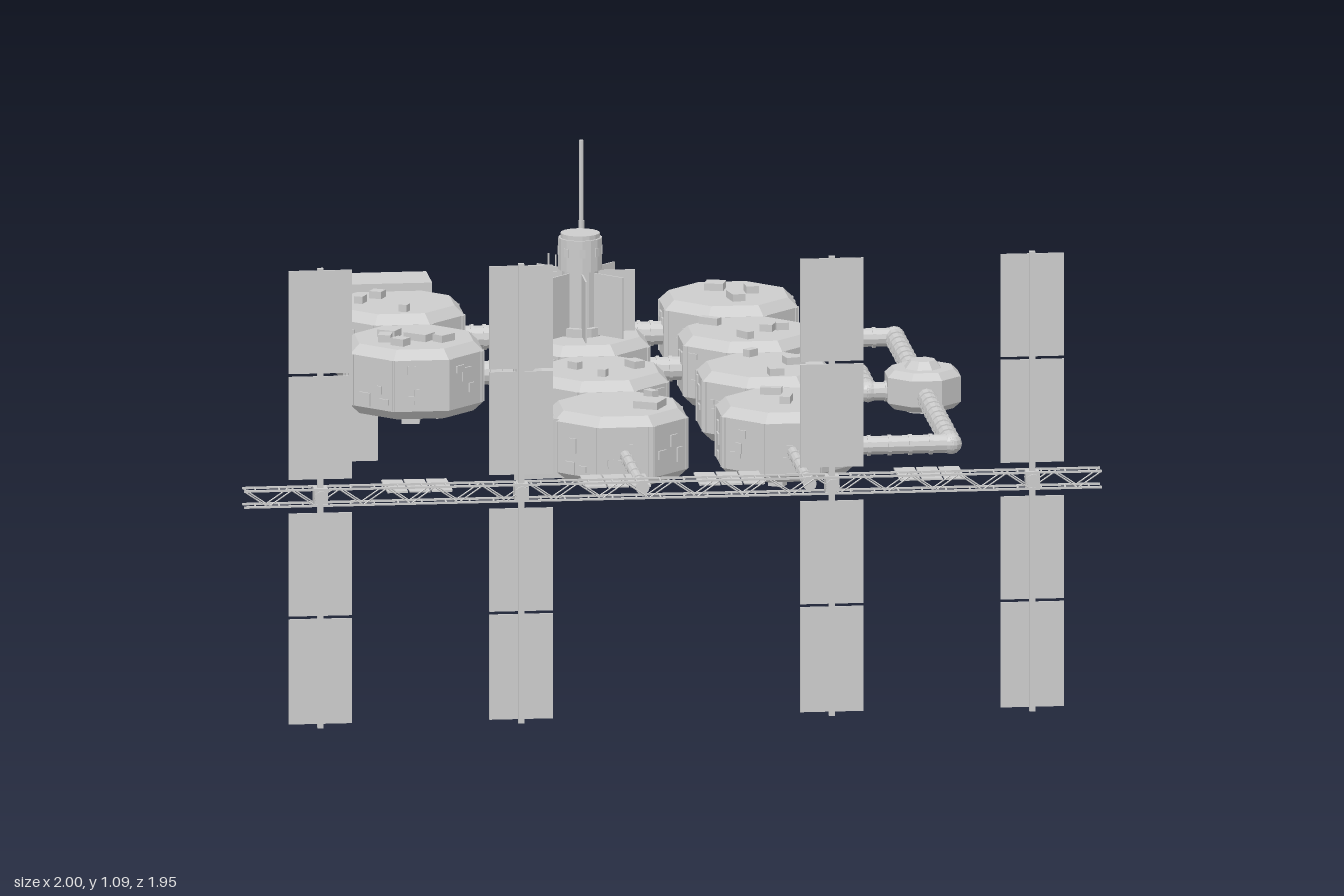
import * as THREE from 'three';

const hull = new THREE.MeshStandardMaterial({ color: 0xcccccc, flatShading: true, side: THREE.DoubleSide });
hull.name = 'hullGrey';

const V = (x, y, z) => new THREE.Vector3(x, y, z);
const UP = V(0, 1, 0);
let seed = 7;
const rnd = () => (seed = (seed * 16807) % 2147483647) / 2147483647;

function add(parent, name, geo, x = 0, y = 0, z = 0, ry = 0) {
  const m = new THREE.Mesh(geo, hull);
  m.name = name;
  m.position.set(x, y, z);
  m.rotation.y = ry;
  parent.add(m);
  return m;
}
const box = (p, name, w, h, d, x, y, z, ry) => add(p, name, new THREE.BoxGeometry(w, h, d), x, y, z, ry);
const cyl = (p, name, r, h, x, y, z, n = 12) => add(p, name, new THREE.CylinderGeometry(r, r, h, n), x, y, z);

// Cylinder running from a to b
function rod(p, name, a, b, r, n = 12) {
  const d = b.clone().sub(a);
  const m = add(p, name, new THREE.CylinderGeometry(r, r, d.length(), n));
  m.position.copy(a).addScaledVector(d, 0.5);
  m.quaternion.setFromUnitVectors(UP, d.normalize());
  return m;
}

// Tube with evenly spaced collars
function tunnel(p, name, a, b, r, gap = 0.05) {
  const g = new THREE.Group();
  g.name = name;
  p.add(g);
  rod(g, 'tube', a, b, r);
  const len = a.distanceTo(b), n = Math.max(1, Math.round(len / gap));
  for (let i = 0; i <= n; i++) {
    const c = a.clone().lerp(b, i / n), d = b.clone().sub(a).setLength(0.004);
    rod(g, 'collar', c.clone().sub(d), c.clone().add(d), r + 0.003);
  }
}

// Octagonal body with chamfered rims; s is the half width across flats
function octagon(p, name, s, y0, y1, chamfer) {
  const k = 1 / Math.cos(Math.PI / 8);
  const pts = [[0, y0], [s - chamfer, y0], [s, y0 + chamfer], [s, y1 - chamfer], [s - chamfer, y1], [0, y1]]
    .map(([r, y]) => new THREE.Vector2(r * k, y));
  return add(p, name, new THREE.LatheGeometry(pts, 8, Math.PI / 8));
}

// Habitat module with wall plates, seams and roof and floor equipment
function habitat(p, x, z, roof) {
  const g = new THREE.Group();
  g.name = 'habitatModule';
  g.position.set(x, 0, z);
  p.add(g);
  octagon(g, 'moduleHull', 0.155, 0.472, 0.637, 0.022);
  for (let i = 0; i < 8; i++) {
    const wall = new THREE.Group();
    wall.name = 'wallDetails';
    wall.rotation.y = i * Math.PI / 4;
    g.add(wall);
    for (const s of [-1, 1]) box(wall, 'cornerRib', 0.004, 0.12, 0.008, 0.1555, 0.555, s * 0.058);
    for (let j = 0; j < 3; j++) {
      const w = 0.012 + rnd() * 0.022, h = 0.01 + rnd() * 0.025;
      box(wall, 'wallPlate', 0.006, h, w, 0.156, 0.51 + rnd() * 0.09, (rnd() - 0.5) * 0.075);
    }
  }
  for (const [dx, dz, w, d] of roof)
    box(g, 'roofUnit', w, 0.018, d, dx, 0.645, dz, rnd() * 3);
  for (let i = 0; i < 4; i++) {
    const a = i * 1.6 + rnd(), r = 0.03 + rnd() * 0.06;
    box(g, 'floorUnit', 0.03 + rnd() * 0.03, 0.018, 0.025 + rnd() * 0.02,
      r * Math.cos(a), 0.463, r * Math.sin(a), rnd() * 3);
  }
}

function buildTower(p) {
  const g = new THREE.Group();
  g.name = 'controlTower';
  g.position.set(-0.067, 0, -0.35);
  p.add(g);
  cyl(g, 'towerShaft', 0.042, 0.2, 0, 0.73, 0, 16);
  cyl(g, 'towerCabin', 0.051, 0.075, 0, 0.828, 0, 16);
  cyl(g, 'towerRoof', 0.046, 0.012, 0, 0.87, 0, 16);
  cyl(g, 'towerFoot', 0.055, 0.025, 0, 0.645, 0, 16);
  for (let i = 0; i < 8; i++) {
    const a = i * Math.PI / 4;
    box(g, 'towerFin', 0.085, 0.145, 0.004, 0.085 * Math.cos(a), 0.713, -0.085 * Math.sin(a), a);
    box(g, 'towerWindow', 0.004, 0.02, 0.014, 0.05 * Math.cos(a), 0.835, -0.05 * Math.sin(a), a);
  }
}

// Lattice beam with its solar wings and flat radiators
function buildTruss(p) {
  const g = new THREE.Group();
  g.name = 'solarTruss';
  g.position.set(0, 0.55, 0.951);
  p.add(g);
  const h = 0.019, n = 36, step = 2 / n;
  for (const sy of [-h, h]) for (const sz of [-h, h]) box(g, 'longeron', 2, 0.005, 0.005, 0, sy, sz);
  for (let i = 0; i < n; i++) {
    const x = -1 + i * step, s = i % 2 ? -h : h;
    for (const z of [-h, h]) rod(g, 'diagonal', V(x, s, z), V(x + step, -s, z), 0.0018, 5);
    for (const y of [-h, h]) box(g, 'crossbar', 0.003, 0.003, 2 * h, x + step / 2, y, 0);
  }
  for (const x of [-0.82, -0.352, 0.373, 0.84]) {
    const w = new THREE.Group();
    w.name = 'solarWing';
    w.position.x = x;
    g.add(w);
    box(w, 'rotaryJoint', 0.032, 0.04, 0.04, 0, 0, 0);
    rod(w, 'jointDrum', V(0, 0, -0.026), V(0, 0, 0.026), 0.016);
    box(w, 'mast', 0.014, 1.09, 0.012, 0, -0.005, 0);
    for (const [y0, y1] of [[0.04, 0.284], [0.291, 0.535], [-0.284, -0.04], [-0.54, -0.291]])
      for (const s of [-1, 1])
        box(w, 'solarPanel', 0.072, y1 - y0, 0.004, s * 0.038, (y0 + y1) / 2, 0);
  }
  for (const x of [-0.585, -0.122, 0.143, 0.61])
    for (const i of [-1, 0, 1])
      box(g, 'radiator', 0.048, 0.004, 0.13, x + i * 0.052, 0, -0.086);
}

export function createModel() {
  const root = new THREE.Group();
  root.name = 'spaceStation';
  const X = [-0.455, -0.067, 0.323], Z = [-0.74, -0.35, 0.04, 0.43], Y = 0.548;

  // Habitat grid: column, row, roof units as [x, z, width, depth]
  const S = 0.03;
  const modules = [
    [0, 0, [[-0.035, -0.05, S, S], [-0.08, 0, 0.02, S], [0.01, 0.105, 0.02, 0.02]]],
    [1, 0, [[0.08, -0.02, 0.03, 0.05], [0.075, 0.045, 0.045, S], [0.01, 0.1, 0.04, S], [-0.045, 0.06, S, S], [-0.06, -0.04, 0.02, S]]],
    [2, 0, [[-0.025, -0.055, 0.045, 0.045], [0.055, -0.015, 0.04, S], [0.01, 0.06, 0.055, 0.03]]],
    [0, 1, [[-0.055, -0.02, 0.045, 0.04], [0.01, 0.025, 0.06, 0.04], [-0.04, 0.08, 0.035, S], [0.065, 0.045, S, 0.045], [-0.07, 0.03, S, 0.04]]],
    [1, 1, []],
    [2, 1, [[-0.08, -0.065, 0.05, 0.02], [0.08, 0.01, 0.03, 0.02], [0.045, 0.02, S, S], [-0.015, 0.09, 0.04, 0.02]]],
    [1, 2, [[-0.055, -0.01, 0.02, S], [0.085, -0.01, S, 0.04], [0, 0.08, 0.02, 0.02]]],
    [2, 2, [[-0.025, -0.1, 0.03, 0.02], [0.065, -0.01, 0.035, 0.045], [0.01, 0.11, 0.035, 0.03]]],
    [1, 3, [[0.07, 0.035, 0.06, 0.06], [0.085, -0.07, S, 0.02]]],
    [2, 3, [[-0.025, -0.07, 0.05, 0.02], [0, 0.02, 0.045, 0.025]]],
  ];
  for (const [c, r, roof] of modules) habitat(root, X[c], Z[r], roof);

  // Short passages between neighbouring modules
  for (const [c, r, dc, dr] of [[0, 0, 1, 0], [1, 0, 1, 0], [0, 1, 1, 0], [1, 1, 1, 0], [0, 0, 0, 1],
    [1, 1, 0, 1], [1, 2, 0, 1], [2, 1, 0, 1], [2, 2, 0, 1]]) {
    const a = V(X[c] + dc * 0.15, Y, Z[r] + dr * 0.15);
    const b = V(X[c + dc] - dc * 0.15, Y, Z[r + dr] - dr * 0.15);
    tunnel(root, 'passage', a, b, 0.028, 0.03);
  }

  // Outer walkway loop and its small hub
  const T = 0.525, hx = 0.71, hz = -0.155;
  for (const path of [
    [[0.47, Z[0]], [hx, Z[0]], [hx, Z[3]], [0.47, Z[3]]],
    [[0.47, Z[1]], [0.582, Z[1]], [0.582, hz], [hx, hz]]])
    for (let i = 0; i < 3; i++) {
      tunnel(root, 'walkway', V(path[i][0], T, path[i][1]), V(path[i + 1][0], T, path[i + 1][1]), 0.022);
      if (i) add(root, 'walkwayElbow', new THREE.SphereGeometry(0.025, 12, 8), path[i][0], T, path[i][1]);
    }
  const hub = new THREE.Group();
  hub.name = 'walkwayHub';
  hub.position.set(hx, 0, hz);
  root.add(hub);
  octagon(hub, 'hubHull', 0.085, 0.487, 0.58, 0.016);
  add(hub, 'hubCap', new THREE.CylinderGeometry(0.03, 0.045, 0.018, 8), 0, 0.589, 0, Math.PI / 8);
  cyl(hub, 'hubBase', 0.045, 0.01, 0, 0.483, 0, 8);

  buildTower(root);
  buildTruss(root);

  // Struts joining the modules to the truss
  for (const x of [X[1], X[2]]) tunnel(root, 'trussStrut', V(x, Y, 0.57), V(x, Y, 0.935), 0.013, 0.07);

  // Aerials on the rear module
  cyl(root, 'aerialBase', 0.007, 0.18, -0.015, 0.72, -0.785, 8);
  cyl(root, 'tallAerial', 0.005, 0.37, -0.015, 0.815, -0.785, 8);
  cyl(root, 'shortAerial', 0.002, 0.13, -0.09, 0.695, -0.645, 6);
  cyl(root, 'shortAerial', 0.002, 0.12, -0.1, 0.69, -0.71, 6);

  // Cargo bay behind the corner module and open chute below it
  box(root, 'cargoBay', 0.2, 0.175, 0.125, -0.455, 0.568, -0.915);
  for (const s of [-1, 1]) {
    box(root, 'chuteSide', 0.004, 0.22, 0.13, -0.535 + s * 0.036, 0.375, -0.785);
    box(root, 'chuteEnd', 0.076, 0.22, 0.004, -0.535, 0.375, -0.785 + s * 0.063);
  }

  // Side fins on the front module
  [0.39, 0.445, 0.5].forEach((z, i) =>
    box(root, 'sideFin', 0.13, 0.14, 0.004, -0.253, 0.55, z, (i - 1) * 0.09));

  return root;
}
